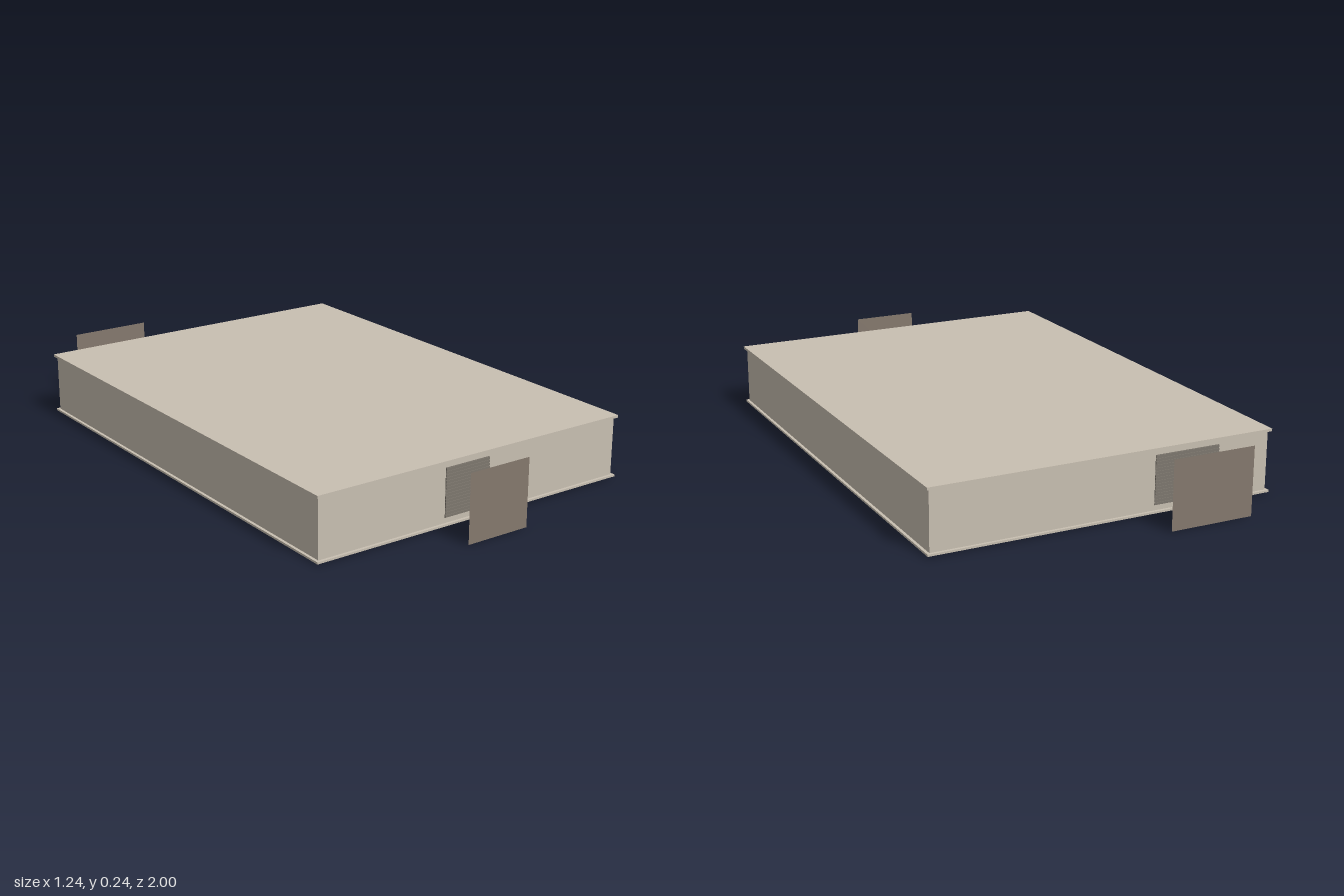
import * as THREE from 'three';

export function createModel() {
  const model = new THREE.Group();
  const mat = (name, color, side = THREE.FrontSide) => {
    const m = new THREE.MeshStandardMaterial({ color, side });
    m.name = name;
    return m;
  };
  const stone = mat('warm beige', 0xc8bfb1);
  const brown = mat('grey brown', 0x84786d, THREE.DoubleSide);
  const metal = mat('shutter grey', 0x7d776e);

  const box = (parent, name, material, size, pos) => {
    const mesh = new THREE.Mesh(new THREE.BoxGeometry(...size), material);
    mesh.name = name;
    mesh.position.set(...pos);
    parent.add(mesh);
  };

  // Main block between two thin overhanging slabs
  box(model, 'walls', stone, [1.216, 0.206, 1.694], [0, 0.114, 0]);
  box(model, 'floorSlab', stone, [1.236, 0.007, 1.714], [0, 0.0085, 0]);
  box(model, 'roofSlab', stone, [1.236, 0.009, 1.714], [0, 0.2215, 0]);

  // Each end has a slatted vent and a thin screen standing in front of it
  const addEnd = (name, x, width, side) => {
    const end = new THREE.Group();
    end.name = name;
    const ventWidth = width - 0.06;
    const slats = 16, bottom = 0.03, pitch = 0.17 / slats;
    for (let i = 0; i < slats; i++) {
      box(end, 'ventSlat', metal, [ventWidth, pitch * 0.7, 0.004],
        [x, bottom + (i + 0.5) * pitch, side * 0.849]);
    }
    box(end, 'ventBack', metal, [ventWidth, 0.17, 0.002], [x, bottom + 0.085, side * 0.8475]);

    const screen = new THREE.Mesh(new THREE.PlaneGeometry(width, 0.238), brown);
    screen.name = 'screen';
    screen.position.set(x, 0.119, side);
    if (side < 0) screen.rotation.y = Math.PI;
    end.add(screen);
    model.add(end);
  };
  addEnd('frontEnd', -0.031, 0.238, 1);
  addEnd('backEnd', -0.299, 0.298, -1);

  return model;
}
